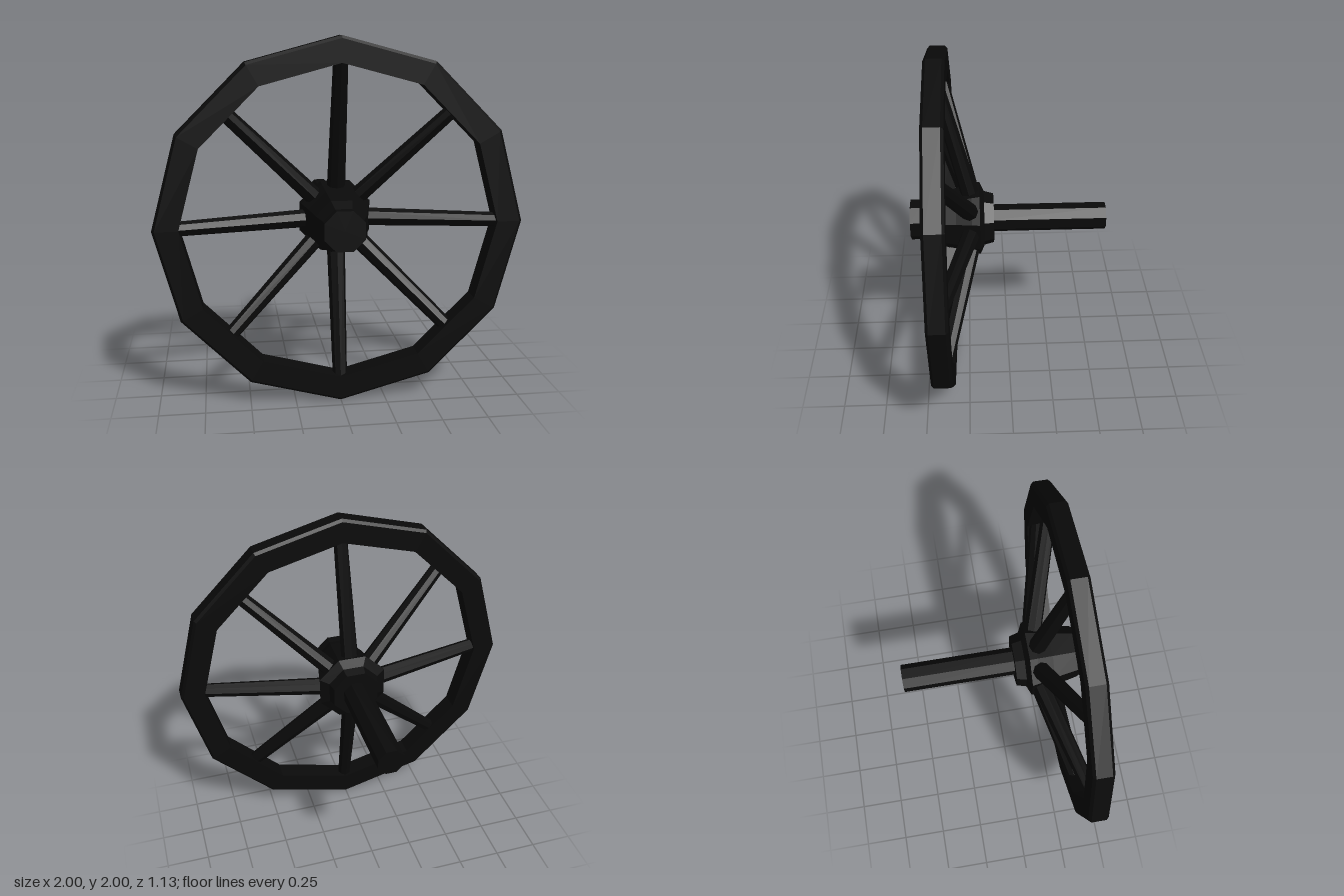
import * as THREE from 'three';

const material = new THREE.MeshStandardMaterial({ color: 0x0a0a0a, flatShading: true });

// Turned part around the z axis; profile is a list of [radius, z] from back to front
function turned(name, profile, sides, start = 0) {
  const points = profile.map(([r, z]) => new THREE.Vector2(r, z));
  const geometry = new THREE.LatheGeometry(points, sides, start).rotateX(Math.PI / 2);
  const mesh = new THREE.Mesh(geometry, material);
  mesh.name = name;
  return mesh;
}

export function createModel() {
  const wheel = new THREE.Group();
  wheel.name = 'wheel';
  wheel.position.y = 1;

  // Twelve-sided rim with slightly bevelled outer edges
  wheel.add(turned('rim', [
    [0.86, 0.33], [0.985, 0.33], [1, 0.345], [1, 0.43],
    [0.985, 0.445], [0.86, 0.445], [0.86, 0.33],
  ], 12));

  // Hub with a flared collar behind and a narrow nose in front
  wheel.add(turned('hub', [
    [0, 0.085], [0.145, 0.085], [0.16, 0.14], [0.215, 0.165], [0.205, 0.21],
    [0.18, 0.3], [0.15, 0.44], [0.118, 0.51], [0.118, 0.565], [0, 0.565],
  ], 8, Math.PI / 8));

  // Axle stub reaching backwards
  wheel.add(turned('axle', [
    [0, -0.565], [0.08, -0.565], [0.08, 0.12], [0, 0.12],
  ], 8, Math.PI / 8));

  // Eight tapered spokes, dished forward from the hub to the rim
  const spokes = new THREE.Group();
  spokes.name = 'spokes';
  const from = new THREE.Vector3(0, 0.12, 0.208);
  const to = new THREE.Vector3(0, 0.88, 0.388);
  const direction = to.clone().sub(from);
  const geometry = new THREE.CylinderGeometry(0.04, 0.052, direction.length(), 8);
  geometry.rotateX(Math.atan2(direction.z, direction.y));
  geometry.translate(0, (from.y + to.y) / 2, (from.z + to.z) / 2);
  for (let i = 0; i < 8; i++) {
    const spoke = new THREE.Mesh(geometry, material);
    spoke.name = 'spoke';
    spoke.rotation.z = (i * Math.PI) / 4;
    spokes.add(spoke);
  }
  wheel.add(spokes);

  const model = new THREE.Group();
  model.name = 'spokedWheel';
  model.add(wheel);
  return model;
}
